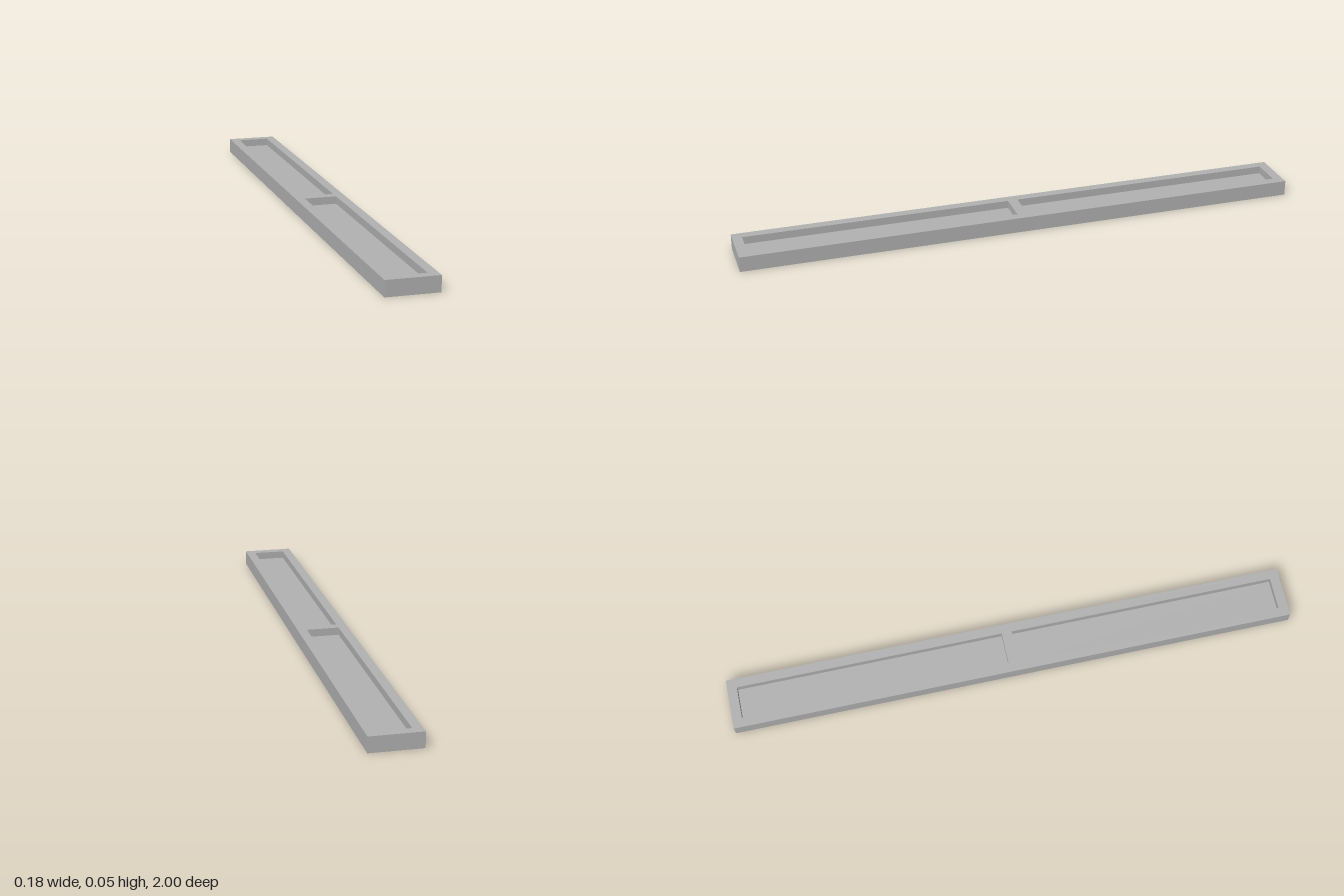
import * as THREE from 'three';

const WIDTH = 0.18, HEIGHT = 0.054, LENGTH = 2;
const POCKET = { width: 0.114, length: 0.948, depth: 0.027, z: 0.492 };

// Box without its top face; inward turns the faces to the inside
function openBox(w, h, d, inward = false) {
  const geometry = new THREE.BoxGeometry(w, h, d);
  const index = Array.from(geometry.index.array);
  index.splice(12, 6);
  geometry.setIndex(inward ? index.reverse() : index);
  geometry.clearGroups();
  if (inward) {
    const normal = geometry.attributes.normal;
    for (let i = 0; i < normal.array.length; i++) normal.array[i] *= -1;
  }
  return geometry;
}

function rectangle(PathType, w, h, y = 0) {
  return new PathType([
    new THREE.Vector2(-w / 2, y - h / 2),
    new THREE.Vector2(w / 2, y - h / 2),
    new THREE.Vector2(w / 2, y + h / 2),
    new THREE.Vector2(-w / 2, y + h / 2),
  ]);
}

export function createModel() {
  const model = new THREE.Group();
  model.name = 'twoPocketTray';

  const grey = new THREE.MeshStandardMaterial({ color: 0xb2b2b2 });
  grey.name = 'grey';

  const add = (name, geometry, y, z = 0) => {
    const mesh = new THREE.Mesh(geometry, grey);
    mesh.name = name;
    mesh.position.set(0, y, z);
    model.add(mesh);
  };

  // Outer walls and underside
  add('body', openBox(WIDTH, HEIGHT, LENGTH), HEIGHT / 2);

  // Flat top rim with two openings
  const rim = rectangle(THREE.Shape, WIDTH, LENGTH);
  for (const side of [-1, 1]) {
    rim.holes.push(rectangle(THREE.Path, POCKET.width, POCKET.length, side * POCKET.z));
  }
  add('rim', new THREE.ShapeGeometry(rim).rotateX(-Math.PI / 2), HEIGHT);

  // Recessed pockets
  for (const [name, side] of [['frontPocket', 1], ['backPocket', -1]]) {
    add(name, openBox(POCKET.width, POCKET.depth, POCKET.length, true),
      HEIGHT - POCKET.depth / 2, side * POCKET.z);
  }

  return model;
}
